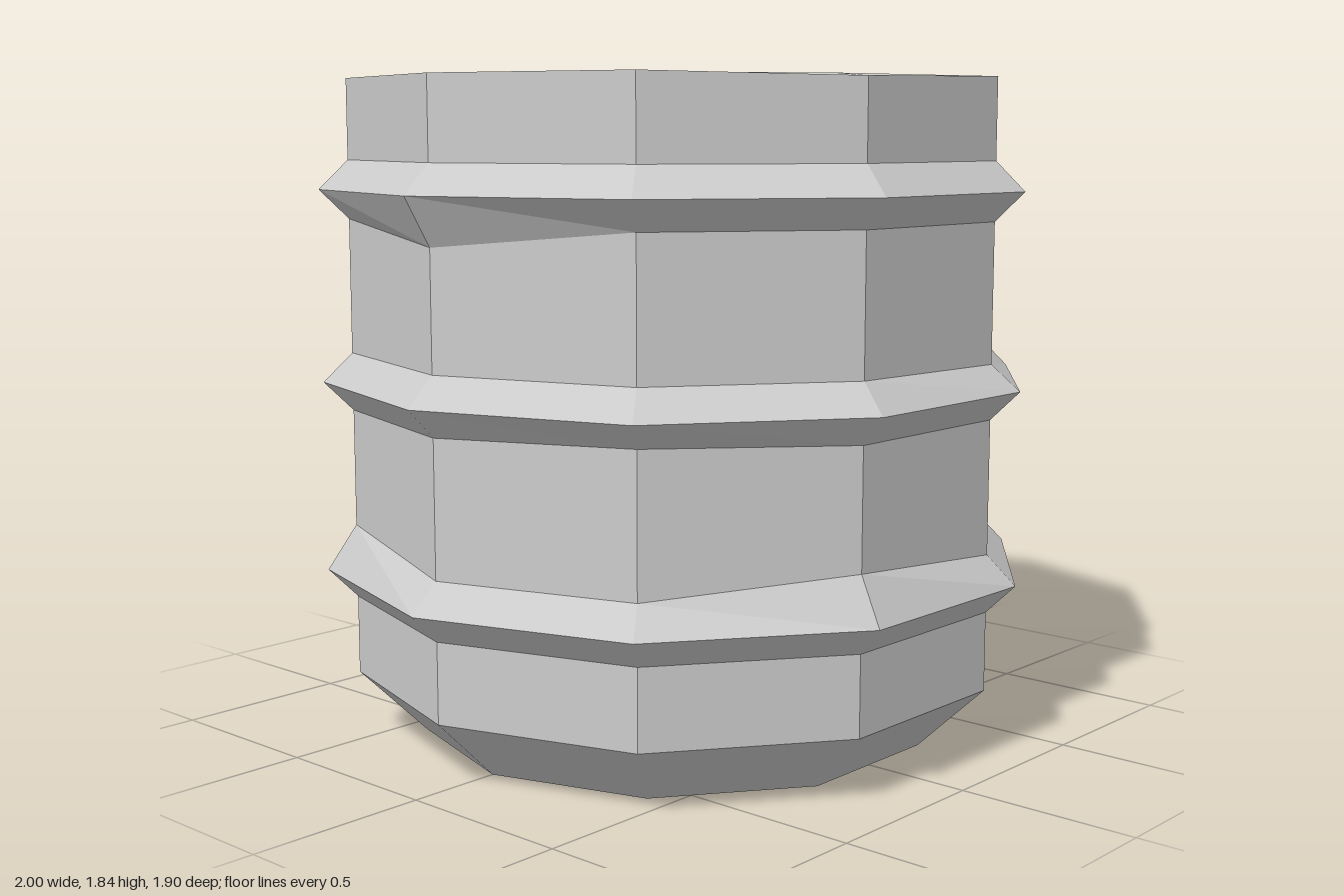
import * as THREE from 'three';

const SIDES = 10;
const material = new THREE.MeshStandardMaterial({ color: 0xcccccc, flatShading: true });

// Ten-sided turned part; tweaks = [corner, profilePoint, newY], corner k lies at k * 36 degrees from +x towards +z
function turned(name, profile, tweaks = []) {
  const points = profile.map(([r, y]) => new THREE.Vector2(r, y));
  const geometry = new THREE.LatheGeometry(points, SIDES, Math.PI / 2);
  const position = geometry.attributes.position;
  for (const [corner, point, y] of tweaks) {
    for (let i = 0; i <= SIDES; i++) {
      if ((i + corner) % SIDES === 0) position.setY(i * points.length + point, y);
    }
  }
  geometry.computeVertexNormals();
  const mesh = new THREE.Mesh(geometry, material);
  mesh.name = name;
  return mesh;
}

// Ridge running around the wall, with a sharp outer edge
function band(name, y, tweaks) {
  return turned(name, [[0.92, y - 0.08], [1, y], [0.92, y + 0.08]], tweaks);
}

export function createModel() {
  const group = new THREE.Group();
  group.name = 'ribbedTub';

  // Hollow shell: base, bevel, outer wall, rim, inner wall, floor
  group.add(turned('shell', [
    [0, 0], [0.735, 0], [0.92, 0.18], [0.92, 1.84],
    [0.78, 1.84], [0.78, 0.16], [0, 0.16],
  ], [[3, 3, 1.83]]));

  // Three bands, with a few corners pulled up or down for a hand-cut look
  group.add(band('lowerBand', 0.48, [[0, 2, 0.605], [3, 2, 0.605], [6, 2, 0.605]]));
  group.add(band('middleBand', 1.01, [[2, 2, 1.08], [4, 0, 0.94]]));
  group.add(band('upperBand', 1.54, [[5, 0, 1.41], [8, 0, 1.41]]));

  return group;
}
